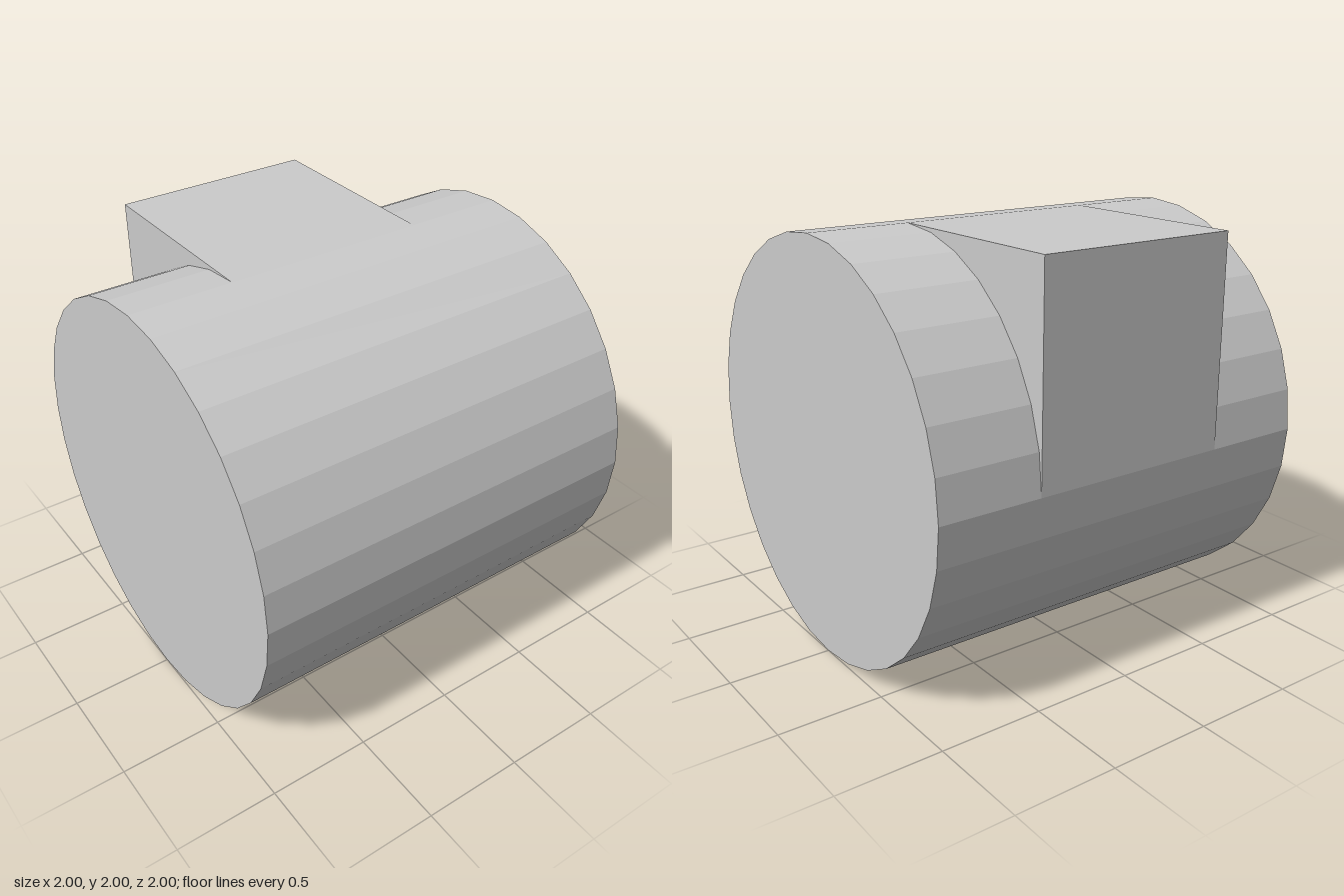
import * as THREE from 'three';

export function createModel() {
  const group = new THREE.Group();
  const material = new THREE.MeshStandardMaterial({ color: 0xcccccc, flatShading: true });

  const addPart = (name, geometry, x, y, z) => {
    const mesh = new THREE.Mesh(geometry, material);
    mesh.name = name;
    mesh.position.set(x, y, z);
    group.add(mesh);
    return mesh;
  };

  // Faceted drum lying along x
  addPart('drum', new THREE.CylinderGeometry(1, 1, 2, 32).rotateZ(Math.PI / 2), 0, 1, 0);

  // Square block filling the upper back quarter, flush with the drum's top and back
  addPart('backBlock', new THREE.BoxGeometry(1, 1, 1), 0, 1.5, -0.5);

  return group;
}
